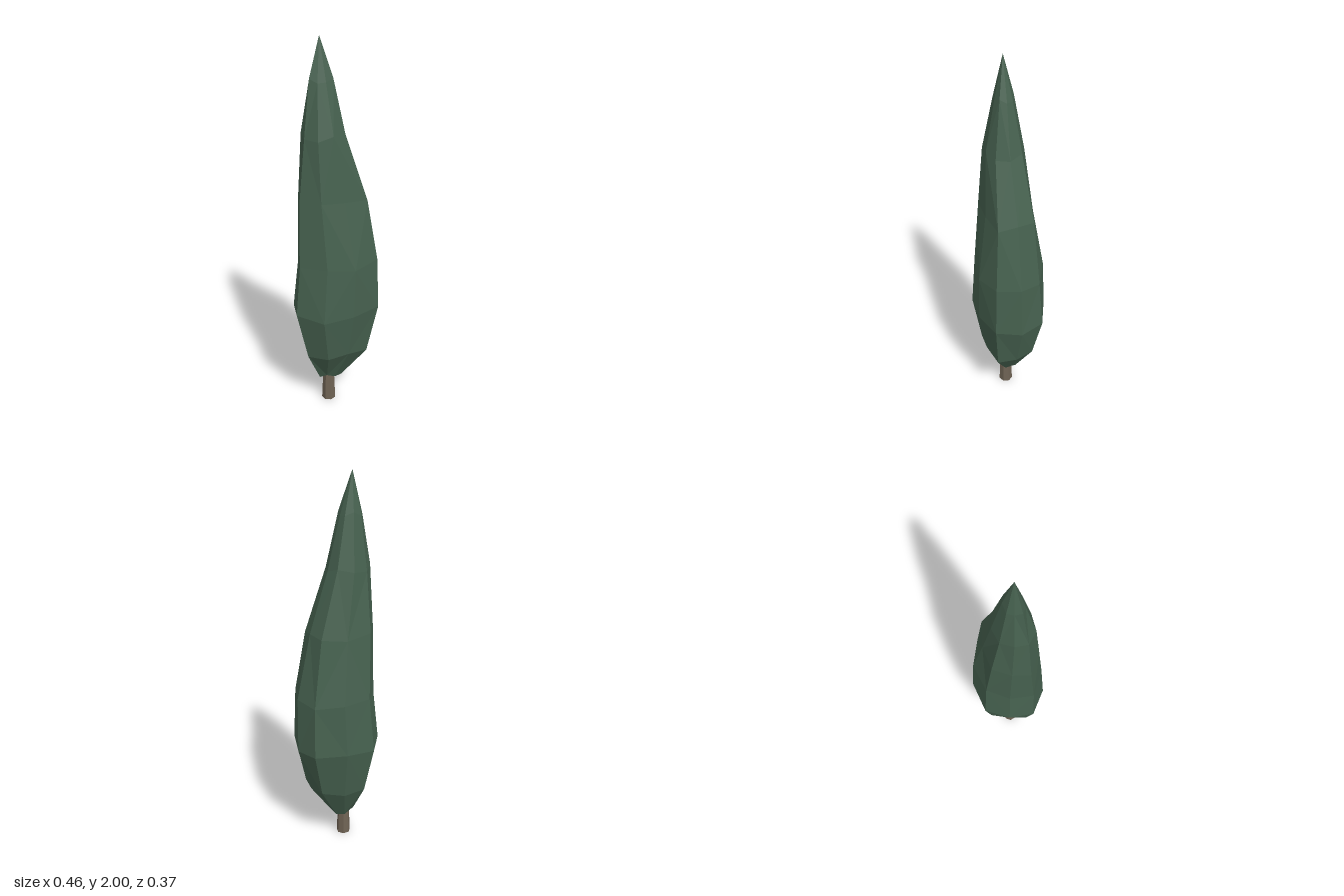
import * as THREE from 'three';

// Nine-sided plan of the foliage as [x, z], unit sized and slightly uneven
const PLAN = [
  [1, 0.03], [0.85, 0.75], [0.17, 1], [-0.52, 0.96], [-1.02, 0.41],
  [-0.91, -0.3], [-0.54, -0.92], [0.17, -1.01], [0.83, -0.66],
];

// Foliage rings: [height, centre x, centre z, radius x, radius z]
const RINGS = [
  [0.18, -0.03, 0.01, 0, 0],
  [0.155, -0.025, 0.0, 0.066, 0.045],
  [0.34, 0.0, 0.005, 0.167, 0.14],
  [0.6, 0.0, 0.0, 0.23, 0.182],
  [0.88, 0.01, 0.005, 0.216, 0.17],
  [1.22, -0.02, 0.003, 0.18, 0.128],
  [1.54, -0.06, 0.008, 0.11, 0.094],
  [1.8, -0.07, 0.005, 0.06, 0.046],
  [2.0, -0.075, 0.005, 0, 0],
];

// Skin the rings with flat triangles, with a small regular unevenness
function foliageGeometry() {
  const n = PLAN.length;
  const positions = [];
  const index = [];
  RINGS.forEach(([y, cx, cz, rx, rz], i) => {
    PLAN.forEach(([px, pz], j) => {
      const tip = rx === 0;
      const wobble = tip || i === 3 ? 1 : 0.985 + 0.035 * Math.sin(i * 2.3 + j * 2.6);
      const lift = tip ? 0 : 0.012 * Math.sin(i * 1.7 + j * 2.1);
      positions.push(cx + px * rx * wobble, y + lift, cz + pz * rz * wobble);
    });
  });
  for (let i = 0; i < RINGS.length - 1; i++) {
    for (let j = 0; j < n; j++) {
      const k = (j + 1) % n;
      const a = i * n + j, b = i * n + k, c = a + n, d = b + n;
      if (i === 0) index.push(a, c, d);
      else if (i === RINGS.length - 2) index.push(a, c, b);
      else if ((i + j) % 2) index.push(a, c, b, b, c, d);
      else index.push(a, c, d, a, d, b);
    }
  }
  const geometry = new THREE.BufferGeometry();
  geometry.setAttribute('position', new THREE.Float32BufferAttribute(positions, 3));
  geometry.setIndex(index);
  geometry.computeVertexNormals();
  return geometry;
}

export function createModel() {
  const tree = new THREE.Group();
  tree.name = 'cypressTree';

  // Tall leaning crown
  const foliage = new THREE.Mesh(
    foliageGeometry(),
    new THREE.MeshStandardMaterial({ color: 0x46614f, flatShading: true }),
  );
  foliage.name = 'foliage';

  // Short faceted trunk reaching into the crown
  const trunk = new THREE.Mesh(
    new THREE.CylinderGeometry(0.03, 0.038, 0.19, 7),
    new THREE.MeshStandardMaterial({ color: 0x6f6354, flatShading: true }),
  );
  trunk.name = 'trunk';
  trunk.position.set(-0.037, 0.095, 0.011);

  tree.add(foliage, trunk);
  return tree;
}
